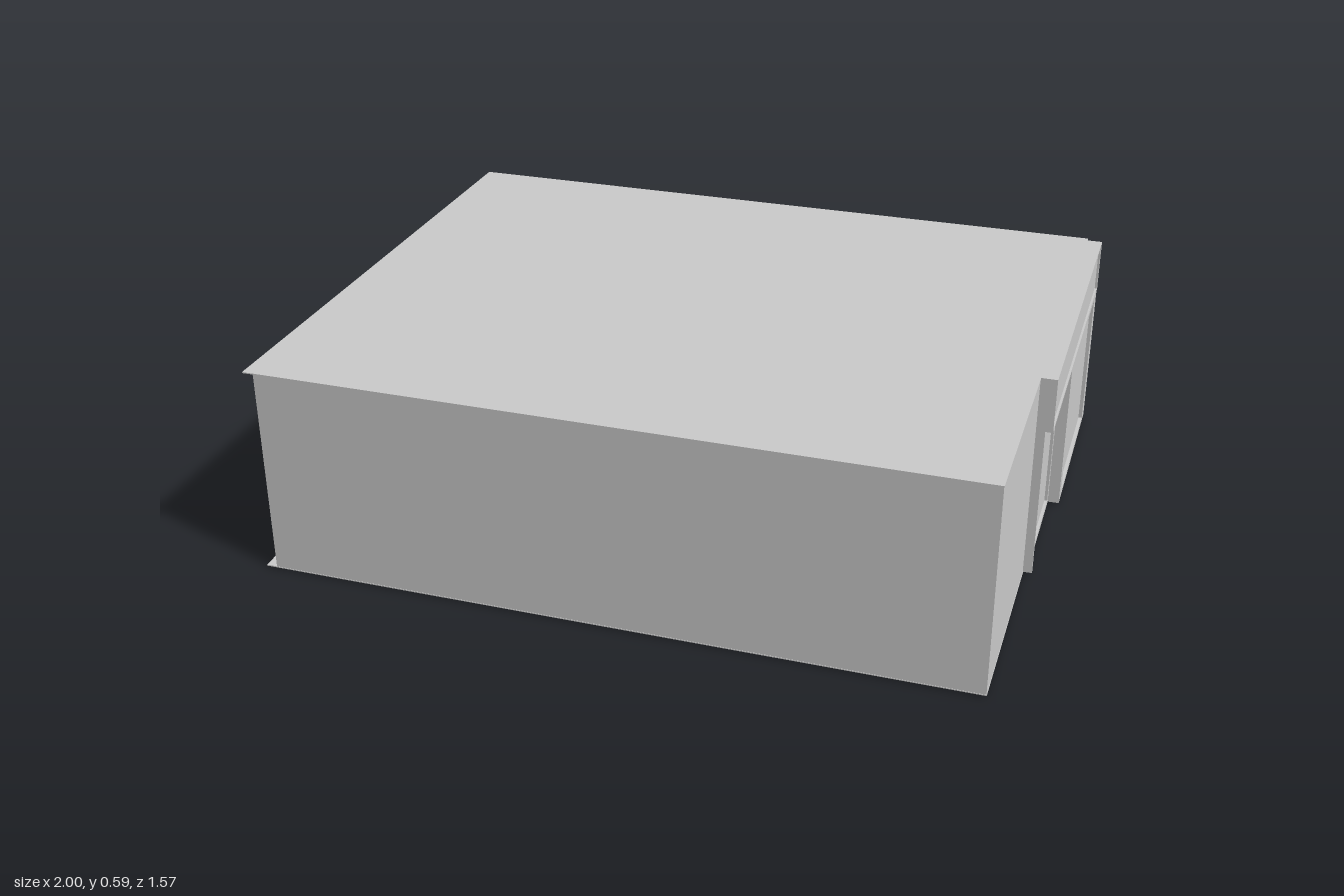
import * as THREE from 'three';

export function createModel() {
  const model = new THREE.Group();
  const grey = new THREE.MeshStandardMaterial({ color: 0xcccccc, flatShading: true });

  const add = (name, geometry, parent = model) => {
    const mesh = new THREE.Mesh(geometry, grey);
    mesh.name = name;
    parent.add(mesh);
    return mesh;
  };

  // Box given by its lower and upper limits on each axis
  const box = (name, [x0, x1], [y0, y1], [z0, z1], parent) =>
    add(name, new THREE.BoxGeometry(x1 - x0, y1 - y0, z1 - z0), parent)
      .position.set((x0 + x1) / 2, (y0 + y1) / 2, (z0 + z1) / 2);

  const toPoints = (list) => list.map(([a, b]) => new THREE.Vector2(a, b));
  const rect = (a0, a1, b0, b1) => toPoints([[a0, b0], [a1, b0], [a1, b1], [a0, b1]]);

  // Floor and roof sheets
  box('floor', [-1, 0.955], [0.004, 0.007], [-0.785, 0.785]);
  box('roof', [-1, 0.955], [0.584, 0.587], [-0.785, 0.785]);

  // Thin walls around the room, with a recess at one back corner (plan as x, -z)
  const plan = new THREE.Shape(toPoints([
    [-0.97, -0.784], [0.954, -0.784], [0.954, 0.768], [-0.58, 0.768], [-0.58, 0.373], [-0.97, 0.373],
  ]));
  plan.holes.push(new THREE.Path(toPoints([
    [-0.95, -0.764], [0.934, -0.764], [0.934, 0.748], [-0.56, 0.748], [-0.56, 0.353], [-0.95, 0.353],
  ])));
  const walls = new THREE.ExtrudeGeometry(plan, { depth: 0.578, bevelEnabled: false });
  walls.rotateX(-Math.PI / 2).translate(0, 0.006, 0);
  add('walls', walls);

  // Panel facing +x: an outer frame with a recessed field
  const framedPanel = (name, [x0, x1], [y0, y1], [z0, z1], field, recess) => {
    const group = new THREE.Group();
    group.name = name;
    model.add(group);
    const shape = new THREE.Shape(rect(-z1, -z0, y0, y1));
    shape.holes.push(new THREE.Path(rect(-field.z[1], -field.z[0], field.y[0], field.y[1])));
    const frame = new THREE.ExtrudeGeometry(shape, { depth: x1 - x0, bevelEnabled: false });
    frame.rotateY(Math.PI / 2).translate(x0, 0, 0);
    add(name + 'Frame', frame, group);
    box(name + 'Field', [x0, x1 - recess], field.y, field.z, group);
  };

  framedPanel('door', [0.95, 0.966], [0.006, 0.435], [-0.19, 0.2],
    { y: [0.02, 0.42], z: [-0.17, 0.17] }, 0.008);
  framedPanel('sidePanel', [0.95, 0.997], [0.006, 0.435], [-0.768, -0.19],
    { y: [0.02, 0.42], z: [-0.715, -0.235] }, 0.01);
  framedPanel('header', [0.95, 0.998], [0.435, 0.587], [-0.77, 0.205],
    { y: [0.443, 0.58], z: [-0.752, 0.197] }, 0.006);

  // Slim post beside the door
  box('doorPost', [0.95, 0.978], [0.006, 0.435], [0.193, 0.205]);

  // T-shaped runners under the floor
  for (const x of [-0.445, 0.065, 0.565]) {
    const runner = new THREE.Group();
    runner.name = 'floorRunner';
    model.add(runner);
    box('crossBar', [x - 0.105, x + 0.105], [0, 0.005], [0.07, 0.08], runner);
    box('stem', [x - 0.005, x + 0.005], [0, 0.005], [0.08, 0.58], runner);
  }

  return model;
}
